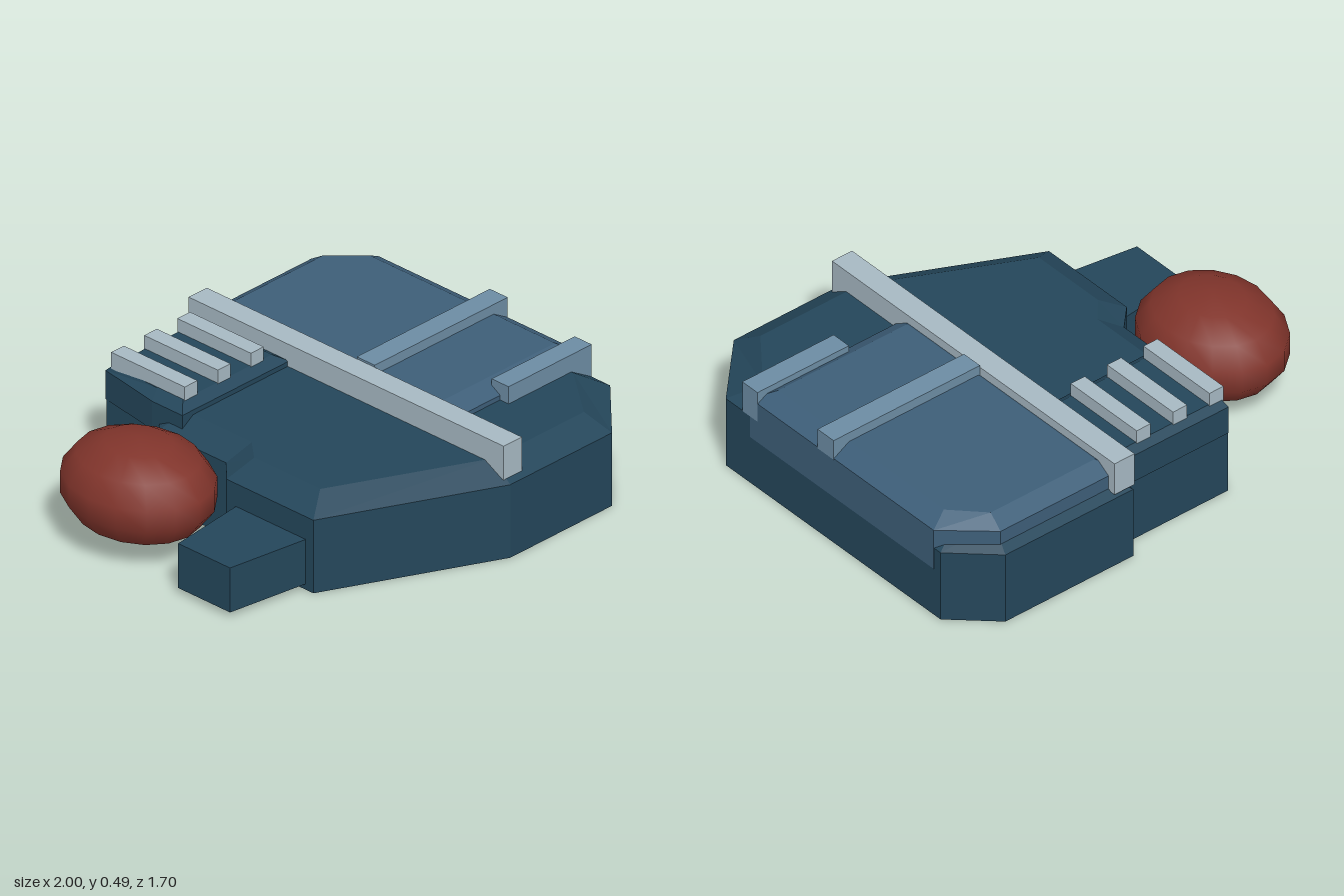
import * as THREE from 'three';

const paint = (color, flat = true) => new THREE.MeshStandardMaterial({ color, flatShading: flat });
const hullPaint = paint(0x24465a);
const platePaint = paint(0x3d5e78);
const ribPaint = paint(0x6c8ca3);
const trimPaint = paint(0xa6b8c2);
const podPaint = paint(0x80342b, false);

// Slab lofted through levels [y, outline]; outlines are [x, z] lists, counterclockwise seen from above
function slab(levels) {
  const pos = [];
  const put = (y, p) => pos.push(p[0], y, p[1]);
  for (let k = 0; k < levels.length - 1; k++) {
    const [y0, a] = levels[k], [y1, b] = levels[k + 1];
    for (let i = 0; i < a.length; i++) {
      const j = (i + 1) % a.length;
      put(y0, a[i]); put(y0, a[j]); put(y1, b[j]);
      put(y0, a[i]); put(y1, b[j]); put(y1, b[i]);
    }
  }
  const cap = ([y, outline], up) => {
    const pts = outline.map(([x, z]) => new THREE.Vector2(x, -z));
    for (const f of THREE.ShapeUtils.triangulateShape(pts, [])) {
      (up ? f : [...f].reverse()).forEach((i) => put(y, outline[i]));
    }
  };
  cap(levels[0], false);
  cap(levels[levels.length - 1], true);
  const g = new THREE.BufferGeometry();
  g.setAttribute('position', new THREE.Float32BufferAttribute(pos, 3));
  g.computeVertexNormals();
  return g;
}

export function createModel() {
  const model = new THREE.Group();
  model.name = 'armouredHull';

  const add = (name, geometry, material) => {
    const mesh = new THREE.Mesh(geometry, material);
    mesh.name = name;
    model.add(mesh);
    return mesh;
  };
  // Box given by its limits on each axis
  const bar = (name, material, [x0, x1], [y0, y1], [z0, z1]) =>
    add(name, new THREE.BoxGeometry(x1 - x0, y1 - y0, z1 - z0), material)
      .position.set((x0 + x1) / 2, (y0 + y1) / 2, (z0 + z1) / 2);

  // Main hull with a sloped rim
  const hull = [[-0.54, 0.5], [0.18, 0.85], [0.74, 0.85], [1, 0.59], [1, -0.68], [0.82, -0.85], [0.18, -0.85],
    [0.18, -0.77], [-0.36, -0.77], [-0.36, -0.48], [-0.45, -0.41], [-0.45, -0.05], [-0.54, 0.04]];
  const deck = [[-0.43, 0.43], [0.2, 0.74], [0.7, 0.74], [0.89, 0.5], [0.89, -0.63], [0.78, -0.74], [0.28, -0.74],
    [0.28, -0.66], [-0.26, -0.66], [-0.26, -0.42], [-0.35, -0.36], [-0.35, -0.01], [-0.43, 0.08]];
  add('hull', slab([[0, hull], [0.32, hull], [0.385, deck]]), hullPaint);

  // Raised plate on the left half
  const plate = [[0.2, 0.445], [1.001, 0.445], [1.001, -0.64], [0.81, -0.81], [0.2, -0.81]];
  const plateTop = [[0.28, 0.37], [0.925, 0.37], [0.925, -0.61], [0.8, -0.74], [0.28, -0.74]];
  add('deckPlate', slab([[0.22, plate], [0.405, plate], [0.45, plateTop]]), platePaint);

  // Engine cover at the back right, with its slats
  const cover = [[-0.41, -0.32], [0.18, -0.32], [0.18, -0.775], [-0.36, -0.775], [-0.41, -0.48]];
  const coverTop = [[-0.36, -0.365], [0.13, -0.365], [0.13, -0.745], [-0.345, -0.745], [-0.36, -0.5]];
  add('engineCover', slab([[0.28, cover], [0.405, cover], [0.435, coverTop]]), hullPaint);
  for (let i = 0; i < 3; i++) {
    const x = -0.32 + i * 0.182;
    bar('coverSlat', trimPaint, [x - 0.035, x + 0.035], [0.42, 0.492], [-0.75, -0.36]);
  }

  // Spine and cross ribs
  bar('spineBar', trimPaint, [0.17, 0.27], [0.335, 0.483], [-0.845, 0.825]);
  bar('crossRib', ribPaint, [0.27, 1.002], [0.4, 0.492], [-0.05, 0.045]);
  bar('frontRib', ribPaint, [0.545, 1.002], [0.32, 0.46], [0.4, 0.49]);

  // Tapered arm on the right side
  const arm = [[-0.9, 0.405], [-0.5, 0.465], [-0.5, 0.085], [-0.9, 0.13]];
  add('sideArm', slab([[0.025, arm], [0.22, arm]]), hullPaint);

  // Rounded side pod
  const pod = add('sidePod', new THREE.SphereGeometry(1, 16, 7), podPaint);
  pod.scale.set(0.282, 0.21, 0.333);
  pod.position.set(-0.725, 0.26, -0.248);

  return model;
}
